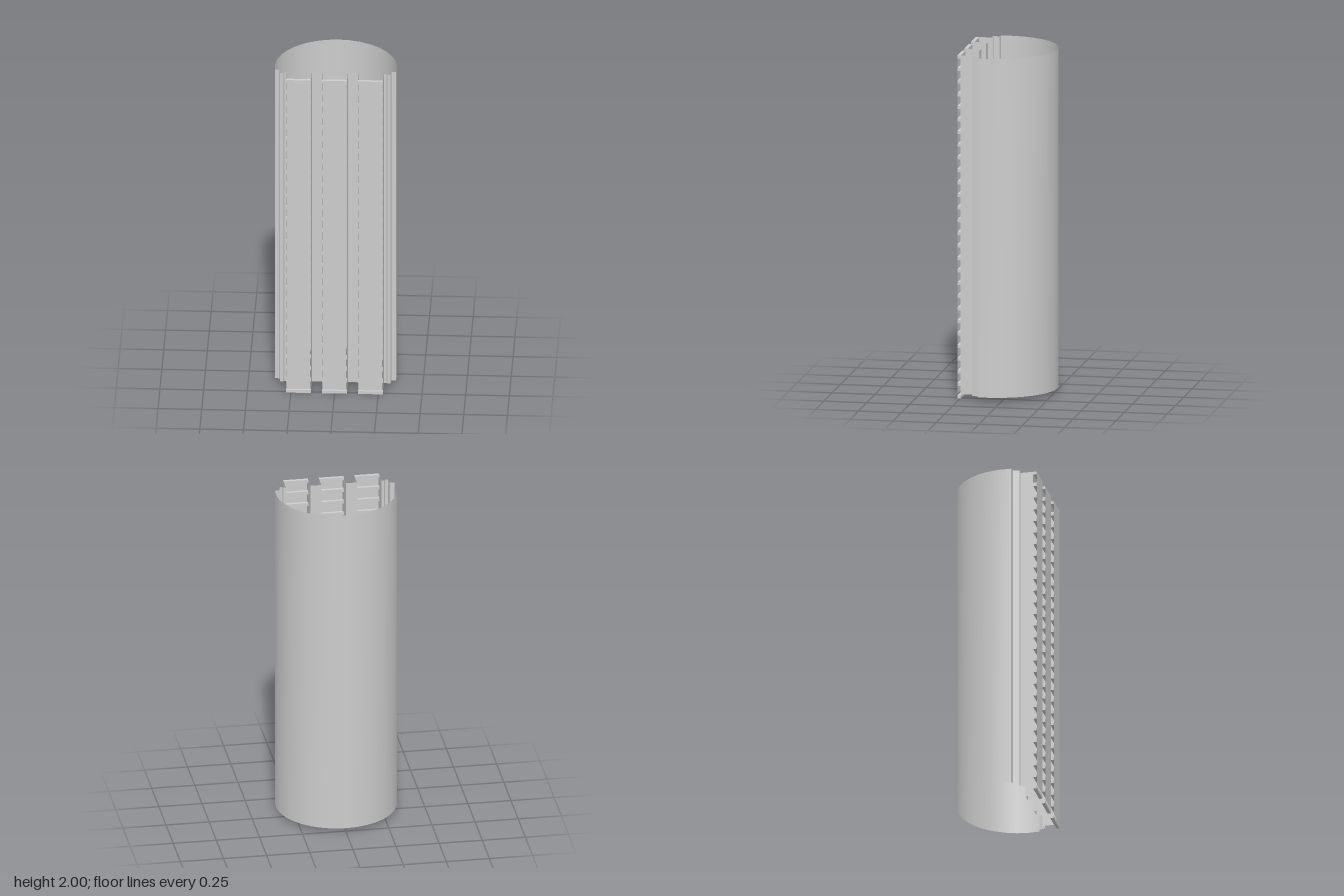
import * as THREE from 'three';

const TOP = 2, BASE = 0.025;
const FRONT = 0.265, SLAB_BACK = 0.245, RECESS = 0.165;
const PANEL_W = 0.143, PITCH = 0.206, FLOORS = 27;

const material = new THREE.MeshStandardMaterial({ color: 0xcccccc, side: THREE.DoubleSide });

// Vertical sheet following a plan line of [x, z] points
function wall(name, points, smooth = false) {
  const positions = [], index = [];
  points.forEach(([x, z], i) => {
    positions.push(x, BASE, z, x, TOP, z);
    if (i < points.length - 1) {
      const a = i * 2;
      index.push(a, a + 2, a + 1, a + 1, a + 2, a + 3);
    }
  });
  let geometry = new THREE.BufferGeometry();
  geometry.setAttribute('position', new THREE.Float32BufferAttribute(positions, 3));
  geometry.setIndex(index);
  if (!smooth) geometry = geometry.toNonIndexed();
  geometry.computeVertexNormals();
  const mesh = new THREE.Mesh(geometry, material);
  mesh.name = name;
  return mesh;
}

// One window bay: a front sheet carried by a ladder of floor slabs
function windowBay(x) {
  const bay = new THREE.Group();
  bay.name = 'windowBay';
  const half = PANEL_W / 2 - 0.003;
  bay.add(wall('frontSheet', [[-half, FRONT], [half, FRONT]]));

  const thickness = 0.018;
  const slabGeometry = new THREE.BoxGeometry(PANEL_W, thickness, FRONT - SLAB_BACK - 0.001);
  for (let i = 0; i <= FLOORS; i++) {
    const slab = new THREE.Mesh(slabGeometry, material);
    slab.name = 'floorSlab';
    slab.position.set(0, thickness / 2 + (i / FLOORS) * (TOP - thickness), (FRONT + SLAB_BACK) / 2 - 0.0005);
    bay.add(slab);
  }
  bay.position.x = x;
  return bay;
}

export function createModel() {
  const tower = new THREE.Group();
  tower.name = 'tower';

  // Rounded back shell, open at top and bottom
  const arc = [];
  const start = 0.13, segments = 18;
  for (let i = 0; i <= segments; i++) {
    const a = start - (i / segments) * (Math.PI + 2 * start);
    arc.push([0.35 * Math.cos(a), 0.085 + 0.35 * Math.sin(a)]);
  }
  arc.reverse();
  tower.add(wall('backShell', arc, true));

  // Stepped corners joining the shell to the outer bays
  const edge = PITCH + PANEL_W / 2;
  const corner = [
    [arc[segments][0], arc[segments][1]], [0.321, 0.135], [0.315, 0.172],
    [0.298, 0.175], [0.292, RECESS], [edge, RECESS], [edge, SLAB_BACK],
  ];
  tower.add(wall('leftCorner', corner));
  tower.add(wall('rightCorner', corner.map(([x, z]) => [-x, z]).reverse()));

  // Recessed channels between the bays
  for (const side of [-1, 1]) {
    const mid = side * PITCH / 2;
    const half = (PITCH - PANEL_W) / 2;
    tower.add(wall('recessChannel', [
      [mid + half, SLAB_BACK], [mid + half, RECESS],
      [mid - half, RECESS], [mid - half, SLAB_BACK],
    ]));
  }

  for (const i of [-1, 0, 1]) tower.add(windowBay(i * PITCH));
  return tower;
}
